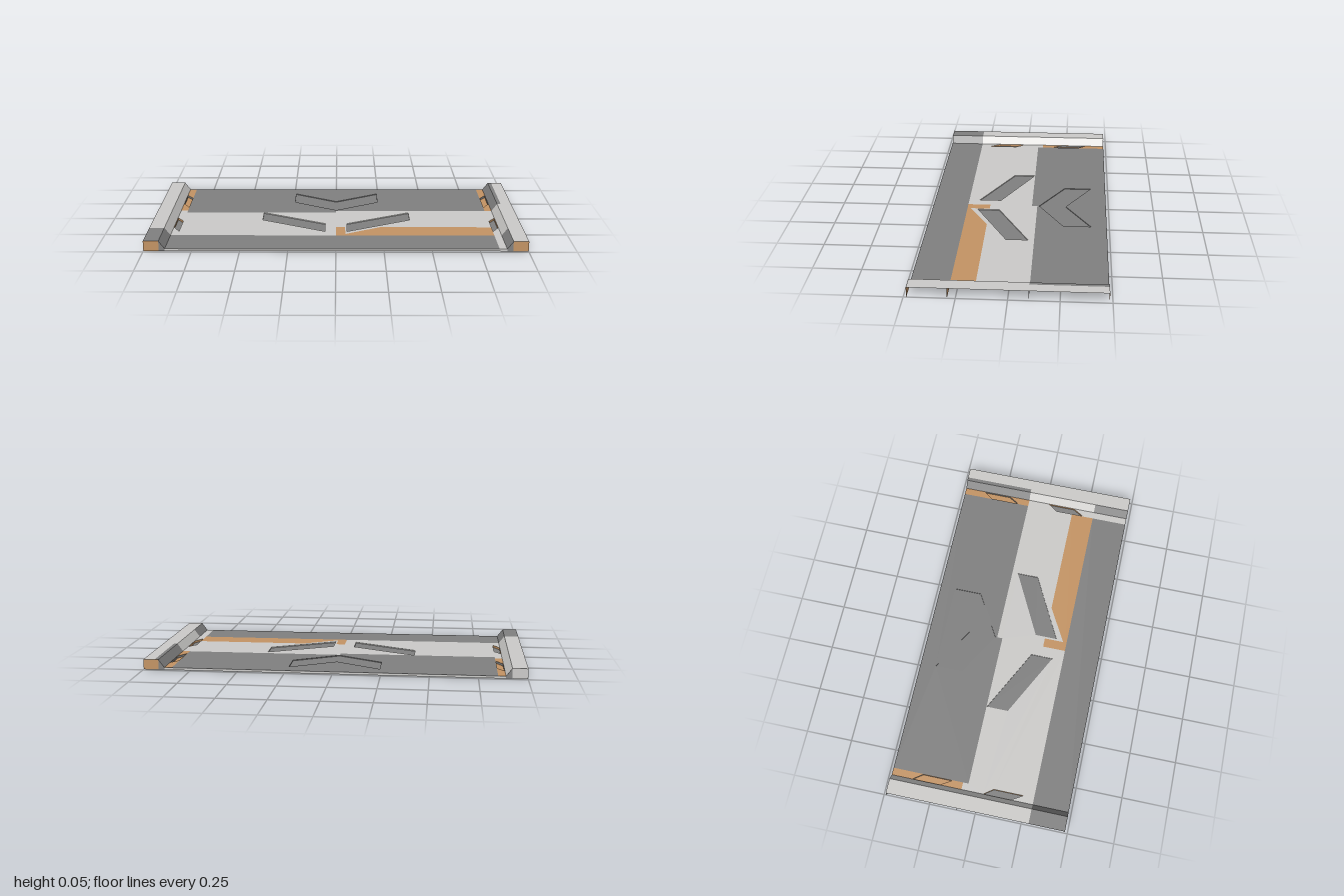
import * as THREE from 'three';

export function createModel() {
  const root = new THREE.Group();
  root.name = 'roadPanel';
  const mat = (name, color) => {
    const m = new THREE.MeshStandardMaterial({ color, side: THREE.DoubleSide });
    m.name = name;
    return m;
  };
  const light = mat('lightGrey', 0xcccbc9);
  const dark = mat('darkGrey', 0x808080);
  const tan = mat('tan', 0xc49464);

  const DECK = 0.012, TOP = 0.054, END = 0.485, BACK = -0.1, FRONT = 0.29;
  const EDGE = 0.889, LIP = 0.92;

  const add = (name, geometry, material) => {
    const mesh = new THREE.Mesh(geometry, material);
    mesh.name = name;
    root.add(mesh);
    return mesh;
  };
  const flip = (pts) => pts.map(([x, z]) => new THREE.Vector2(x, -z));
  const rect = (x0, x1, z0, z1) => [[x0, z0], [x1, z0], [x1, z1], [x0, z1]];
  const mirror = (pts) => pts.map(([x, z]) => [-x, z]);

  // Flat sheet given as [x, z] points, with optional holes
  const sheet = (name, material, pts, y = DECK, holes = []) => {
    const shape = new THREE.Shape(flip(pts));
    holes.forEach((h) => shape.holes.push(new THREE.Path(flip(h))));
    const g = new THREE.ShapeGeometry(shape);
    g.rotateX(-Math.PI / 2).translate(0, y, 0);
    return add(name, g, material);
  };

  // Quad from four corners
  const quad = (name, material, a, b, c, d) => {
    const g = new THREE.BufferGeometry();
    g.setAttribute('position', new THREE.Float32BufferAttribute([a, b, c, a, c, d].flat(), 3));
    g.computeVertexNormals();
    return add(name, g, material);
  };

  // Sunken pocket: floor and walls
  const pocket = (name, pts, floorY, floorMat, wallMat) => {
    sheet(name + 'Floor', floorMat, pts, floorY);
    pts.forEach(([x, z], i) => {
      const [u, w] = pts[(i + 1) % pts.length];
      quad(name + 'Wall', wallMat, [x, DECK, z], [u, DECK, w], [u, floorY, w], [x, floorY, z]);
    });
  };

  // Pocket outlines
  const chevron = [[-0.24, -0.4], [0, -0.26], [0.24, -0.4], [0.24, -0.25], [0, -0.111], [-0.24, -0.25]];
  const wing = [[0.41, -0.068], [0.41, 0.05], [0.06, 0.23], [0.06, 0.11]];
  const sideBack = [[0.888, -0.37], [0.888, -0.22], [0.852, -0.16], [0.852, -0.32]];
  const sideFront = sideBack.map(([x, z]) => [x, z + 0.39]);

  // Deck, back section
  sheet('backDeck', dark,
    [[-0.85, -END], [0.85, -END], [0.85, BACK], [0, BACK], [0, -0.07], [-0.85, -0.07]], DECK, [chevron]);
  pocket('backChevron', chevron, 0.008, dark, dark);

  // Deck, middle section
  sheet('middleDeck', light, [
    [-EDGE, BACK], [-0.85, BACK], [-0.85, -0.07], [0, -0.07], [0, BACK], [EDGE, BACK],
    [EDGE, FRONT], [0.85, FRONT], [0.85, 0.165], [0.24, 0.165], [0.05, 0.27], [0.05, 0.165],
    [0, 0.165], [0, FRONT], [-EDGE, FRONT],
  ], DECK, [wing, mirror(wing), sideFront, mirror(sideFront)]);
  sheet('middleDeckBand', tan,
    [[0, 0.165], [0.05, 0.165], [0.05, 0.27], [0.24, 0.165], [0.85, 0.165], [0.85, FRONT], [0, FRONT]]);

  // Deck, front section
  sheet('frontDeck', dark, rect(-EDGE, 0.85, FRONT, END));
  sheet('frontDeckEdge', light, rect(0.85, EDGE, FRONT, END));

  // Mirrored pockets and back side strips
  for (const side of [1, -1]) {
    const m = (pts) => (side > 0 ? pts : mirror(pts));
    pocket('wing', m(wing), 0.007, dark, light);
    pocket('frontSidePocket', m(sideFront), 0, dark, tan);
    pocket('backSidePocket', m(sideBack), 0, tan, dark);
    sheet('backSideStrip', tan, m(rect(0.85, EDGE, -END, BACK)), DECK, [m(sideBack)]);
  }

  // Side rails in three sections: open beneath, flat top and inner slope
  const stops = [-END, BACK, FRONT, END];
  const slopeMats = { 1: [dark, light, dark], '-1': [light, light, dark] };
  for (const side of [1, -1]) {
    for (let i = 0; i < 3; i++) {
      const [z0, z1] = [stops[i], stops[i + 1]];
      quad('railSlope', slopeMats[side][i],
        [side * EDGE, DECK, z0], [side * EDGE, DECK, z1], [side * LIP, TOP, z1], [side * LIP, TOP, z0]);
      const split = side > 0 && i === 0 ? 0.94 : LIP;
      const order = (a, b) => (side > 0 ? rect(a, b, z0, z1) : rect(-b, -a, z0, z1));
      if (split > LIP) sheet('railTopInner', dark, order(LIP, split), TOP);
      sheet('railTop', side < 0 && i === 2 ? dark : light, order(split, 1), TOP);
    }
  }

  // Cross ribs under the rails and thin skirts under the deck
  const ribMats = { 1: [tan, light, tan, tan], '-1': [light, light, light, tan] };
  stops.forEach((z, i) => {
    for (const side of [1, -1]) {
      quad('railRib', ribMats[side][i],
        [side * LIP, 0, z], [side, 0, z], [side, TOP, z], [side * LIP, TOP, z]);
      quad('railRibToe', dark,
        [side * EDGE, 0, z], [side * LIP, 0, z], [side * LIP, TOP, z], [side * EDGE, DECK, z]);
    }
    quad('deckSkirt', light, [-EDGE, 0, z], [EDGE, 0, z], [EDGE, DECK, z], [-EDGE, DECK, z]);
  });

  return root;
}
